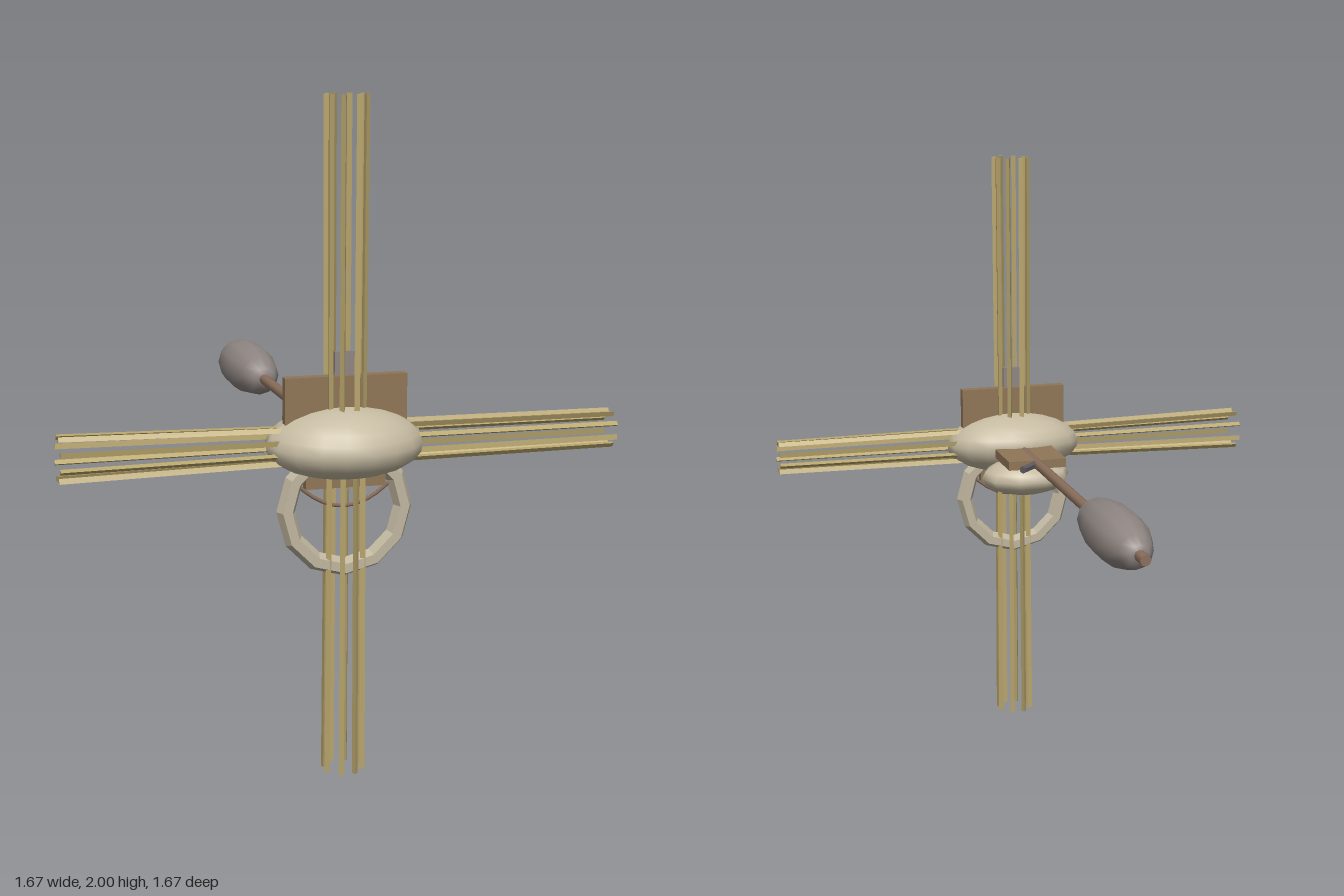
import * as THREE from 'three';

const mat = (name, color, flatShading = false) => {
  const m = new THREE.MeshStandardMaterial({ color, flatShading });
  m.name = name;
  return m;
};

export function createModel() {
  const group = new THREE.Group();
  const shell = mat('bone', 0xc6bba2);
  const shellFlat = mat('bone faceted', 0xc0b69f, true);
  const wood = mat('wood', 0x8f7657, true);
  const shaftWood = mat('shaft wood', 0x8c705c);
  const straw = mat('straw', 0xb7a46c, true);
  const grey = mat('grey', 0x8f8682);
  const dark = mat('dark metal', 0x5c595f, true);

  const add = (name, geometry, material, x = 0, y = 0, z = 0, parent = group) => {
    const mesh = new THREE.Mesh(geometry, material);
    mesh.name = name;
    mesh.position.set(x, y, z);
    parent.add(mesh);
    return mesh;
  };
  const box = (name, w, h, d, material, x, y, z) =>
    add(name, new THREE.BoxGeometry(w, h, d), material, x, y, z);

  // Main body: an ellipsoid, narrower toward the top and front
  const bodyGeo = new THREE.SphereGeometry(1, 18, 12);
  const p = bodyGeo.attributes.position;
  for (let i = 0; i < p.count; i++) {
    const y = p.getY(i), z = p.getZ(i);
    p.setX(i, p.getX(i) * (1 - 0.07 * y) * (1 - 0.06 * z));
    p.setY(i, y - 0.1 * z * (1 - y * y));
  }
  bodyGeo.scale(0.235, 0.105, 0.17);
  bodyGeo.computeVertexNormals();
  add('body', bodyGeo, shell, 0, 1.005, 0.665);

  // Smaller rear body
  const rear = add('rearBody', new THREE.SphereGeometry(1, 10, 8), shell, 0, 0.92, 0.485);
  rear.scale.set(0.155, 0.062, 0.118);

  // Four bundles of eight three-sided rods, in a cross
  const rodCount = 8;
  const addBundle = (name, length, angle, baseRadius, tipRadius) => {
    const bundle = new THREE.Group();
    bundle.name = name;
    bundle.position.set(0, 1, 0.66);
    bundle.rotation.z = angle;
    const start = 0.085;
    for (let i = 0; i < rodCount; i++) {
      const a = (i + 0.5) / rodCount * Math.PI * 2;
      const from = new THREE.Vector3(Math.cos(a) * baseRadius, start, Math.sin(a) * baseRadius);
      const to = new THREE.Vector3(Math.cos(a) * tipRadius, length, Math.sin(a) * tipRadius);
      const dir = to.clone().sub(from);
      const geo = new THREE.CylinderGeometry(0.0095, 0.0095, dir.length(), 3);
      geo.rotateY(-a);
      const rod = add('rod', geo, straw, 0, 0, 0, bundle);
      rod.position.copy(from).lerp(to, 0.5);
      rod.quaternion.setFromUnitVectors(new THREE.Vector3(0, 1, 0), dir.normalize());
    }
    group.add(bundle);
  };
  addBundle('upperRods', 1, 0, 0.054, 0.057);
  addBundle('lowerRods', 1, Math.PI, 0.054, 0.058);
  addBundle('rightRods', 0.835, Math.PI / 2, 0.05, 0.064);
  addBundle('leftRods', 0.83, -Math.PI / 2, 0.056, 0.051);

  // Upright board across the body, with its foot and central tab
  box('uprightBoard', 0.365, 0.2, 0.033, wood, 0, 1.1, 0.66);
  box('boardFoot', 0.24, 0.13, 0.033, wood, 0, 0.935, 0.66);
  box('boardTab', 0.066, 0.2, 0.012, grey, 0, 1.17, 0.66);

  // Hanging ring
  const ring = add('ring', new THREE.TorusGeometry(0.177, 0.028, 6, 12), shellFlat, 0, 0.805, 0.66);
  ring.scale.z = 1.15;

  // Thin wire slung inside the ring
  const wire = new THREE.QuadraticBezierCurve3(
    new THREE.Vector3(-0.15, 0.89, 0.66),
    new THREE.Vector3(0, 0.735, 0.66),
    new THREE.Vector3(0.15, 0.89, 0.66));
  add('wire', new THREE.TubeGeometry(wire, 10, 0.006, 5), shaftWood);

  // Flat rear board
  box('rearBoard', 0.2, 0.03, 0.19, wood, 0, 1.0, 0.415);

  // Long shaft running back
  const shaft = add('shaft', new THREE.CylinderGeometry(0.017, 0.017, 1.36, 8), shaftWood, 0, 1.002, -0.16);
  shaft.rotation.x = Math.PI / 2;

  // Spindle-shaped weight on the shaft
  const profile = [[0, -0.235], [0.038, -0.235], [0.066, -0.17], [0.083, -0.06],
    [0.086, 0.03], [0.079, 0.12], [0.054, 0.205], [0.03, 0.24], [0, 0.24]]
    .map(([r, y]) => new THREE.Vector2(r, y));
  const weight = add('weight', new THREE.LatheGeometry(profile, 12), grey, 0, 1.002, -0.545);
  weight.rotation.x = -Math.PI / 2;

  // Short slanted peg beside the shaft
  const peg = add('peg', new THREE.CylinderGeometry(0.013, 0.013, 0.09, 6), dark, 0.037, 1.002, 0.288);
  peg.rotation.set(-Math.PI / 2, 0, -Math.PI / 4);

  return group;
}
